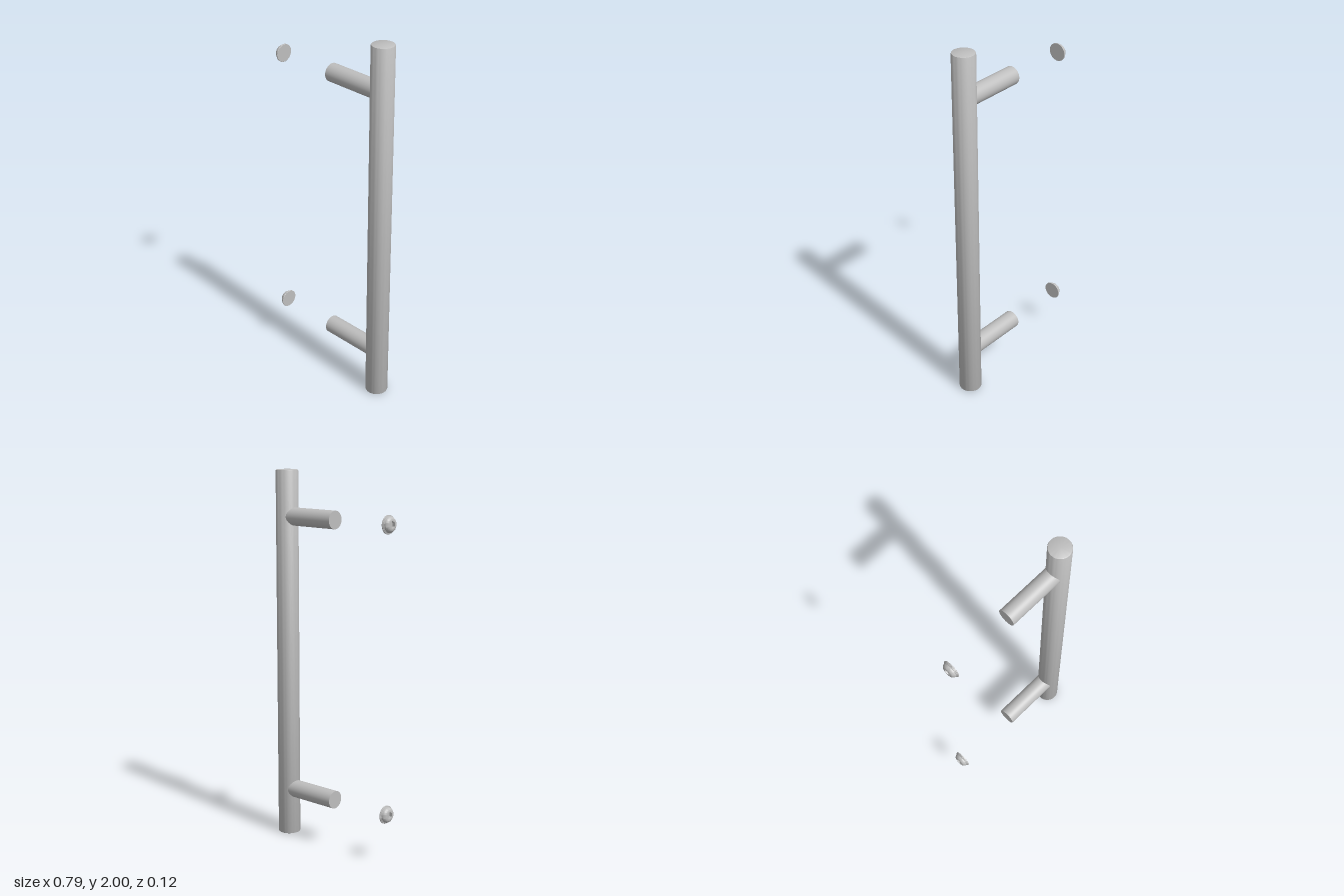
import * as THREE from 'three';
import { toCreasedNormals } from 'three/addons/utils/BufferGeometryUtils.js';

const steel = new THREE.MeshStandardMaterial({ color: 0xbebebe });
steel.name = 'brushed steel';

function part(name, geometry, parent) {
  const mesh = new THREE.Mesh(geometry, steel);
  mesh.name = name;
  parent.add(mesh);
  return mesh;
}

// Turned part from [radius, height] pairs, with crisp edges
function turned(profile, segments = 48) {
  const points = profile.map(([r, h]) => new THREE.Vector2(r, h));
  return toCreasedNormals(new THREE.LatheGeometry(points, segments), 0.5);
}

// Screw head along +y: flange, dome and hexagonal socket
function createScrewHead() {
  const head = new THREE.Group();
  const height = 0.031, rim = 0.022, socketDepth = 0.016;

  const profile = [[0, 0], [0.047, 0], [0.048, 0.001], [0.048, 0.006], [0.047, 0.007],
    [0.044, 0.007], [0.044, 0.01], [0.041, 0.011]];
  for (let i = 1; i <= 6; i++) {
    const t = (i / 6) * Math.PI / 2;
    profile.push([rim + (0.041 - rim) * Math.cos(t), 0.011 + (height - 0.011) * Math.sin(t)]);
  }
  part('screwDome', turned(profile), head);

  // Flat crown pierced by the socket
  const crown = new THREE.Shape().absarc(0, 0, rim, 0, Math.PI * 2);
  const hexagon = [];
  for (let i = 0; i < 6; i++) {
    const a = -i * Math.PI / 3;
    hexagon.push(new THREE.Vector2(0.019 * Math.cos(a), 0.019 * Math.sin(a)));
  }
  crown.holes.push(new THREE.Path(hexagon));
  const socket = new THREE.ExtrudeGeometry(crown, { depth: socketDepth, bevelEnabled: false, curveSegments: 24 });
  socket.rotateX(-Math.PI / 2).translate(0, height - socketDepth, 0);
  part('screwSocket', socket, head);

  const floor = new THREE.CircleGeometry(0.0205, 24);
  floor.rotateX(-Math.PI / 2).translate(0, height - socketDepth + 0.001, 0);
  part('socketFloor', floor, head);
  return head;
}

export function createModel() {
  const model = new THREE.Group();
  model.name = 'barPullHandle';

  // Upright bar with small bevels at both ends
  const bar = part('gripBar', turned([[0, 0], [0.054, 0], [0.058, 0.002], [0.06, 0.007],
    [0.06, 1.993], [0.058, 1.998], [0.054, 2], [0, 2]]), model);
  bar.position.x = 0.336;

  // Posts running into the bar, each with a separate screw head
  [['lower', 0.255], ['upper', 1.755]].forEach(([level, y]) => {
    const post = part(level + 'Post', new THREE.CylinderGeometry(0.048, 0.048, 0.322, 48), model);
    post.rotation.z = Math.PI / 2;
    post.position.set(0.149, y, 0);

    const screw = createScrewHead();
    screw.name = level + 'ScrewHead';
    screw.rotation.z = Math.PI / 2;
    screw.position.set(-0.367, y, 0);
    model.add(screw);
  });

  return model;
}
